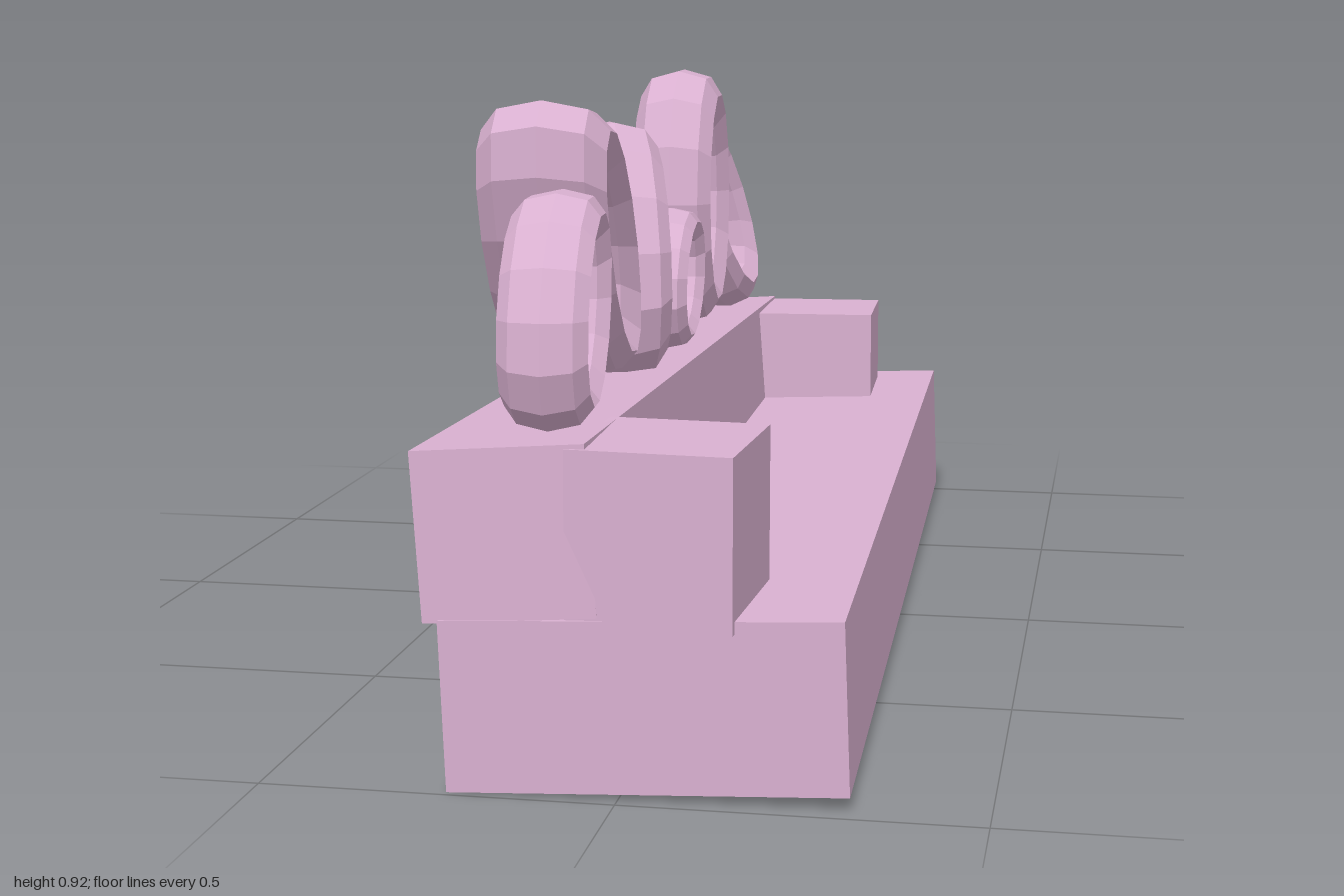
import * as THREE from 'three';

export function createModel() {
  const model = new THREE.Group();
  const material = new THREE.MeshStandardMaterial({ color: 0xd9b0d0, flatShading: true });

  function add(name, geometry, position, rotation) {
    const mesh = new THREE.Mesh(geometry, material);
    mesh.name = name;
    mesh.position.set(...position);
    mesh.rotation.set(...rotation, 'YXZ');
    model.add(mesh);
  }

  // Sofa body: slightly crooked slabs
  add('seatBase', new THREE.BoxGeometry(0.55, 0.24, 1.965), [0.005, 0.132, 0], [0, 0.03, 0.035]);
  add('backrest', new THREE.BoxGeometry(0.24, 0.235, 1.895), [-0.175, 0.33, 0.035], [-0.034, 0.022, 0.07]);
  add('frontArm', new THREE.BoxGeometry(0.23, 0.24, 0.235), [0.05, 0.36, 0.868], [0, -0.05, -0.005]);
  add('backArm', new THREE.BoxGeometry(0.23, 0.235, 0.235), [0.025, 0.303, -0.798], [-0.01, 0.05, 0]);

  // Row of faceted oval rings standing on the backrest, front to back
  const rings = [
    // position, width, half height, half length, [tilt, yaw, lean]
    [[-0.122, 0.642, 0.805], 0.125, 0.178, 0.122, [-0.6, 0.08, 0]],
    [[-0.185, 0.696, 0.512], 0.19, 0.275, 0.122, [0.69, 0.06, 0]],
    [[-0.187, 0.648, 0.13], 0.145, 0.231, 0.16, [-0.65, 0.33, 0]],
    [[-0.155, 0.562, -0.14], 0.1, 0.156, 0.115, [-1.15, 0.05, 0]],
    [[-0.188, 0.678, -0.436], 0.145, 0.244, 0.174, [0, 0.05, 0]],
    [[-0.205, 0.627, -0.722], 0.135, 0.22, 0.1, [0.33, -0.12, 0.2]],
  ];
  rings.forEach(([position, width, halfHeight, halfLength, rotation], i) => {
    const ring = new THREE.TorusGeometry(0.8, 0.2, 8, 14);
    ring.rotateY(Math.PI / 2);
    ring.scale(width / 0.4, halfHeight, halfLength);
    add('ring' + (i + 1), ring, position, rotation);
  });

  return model;
}
